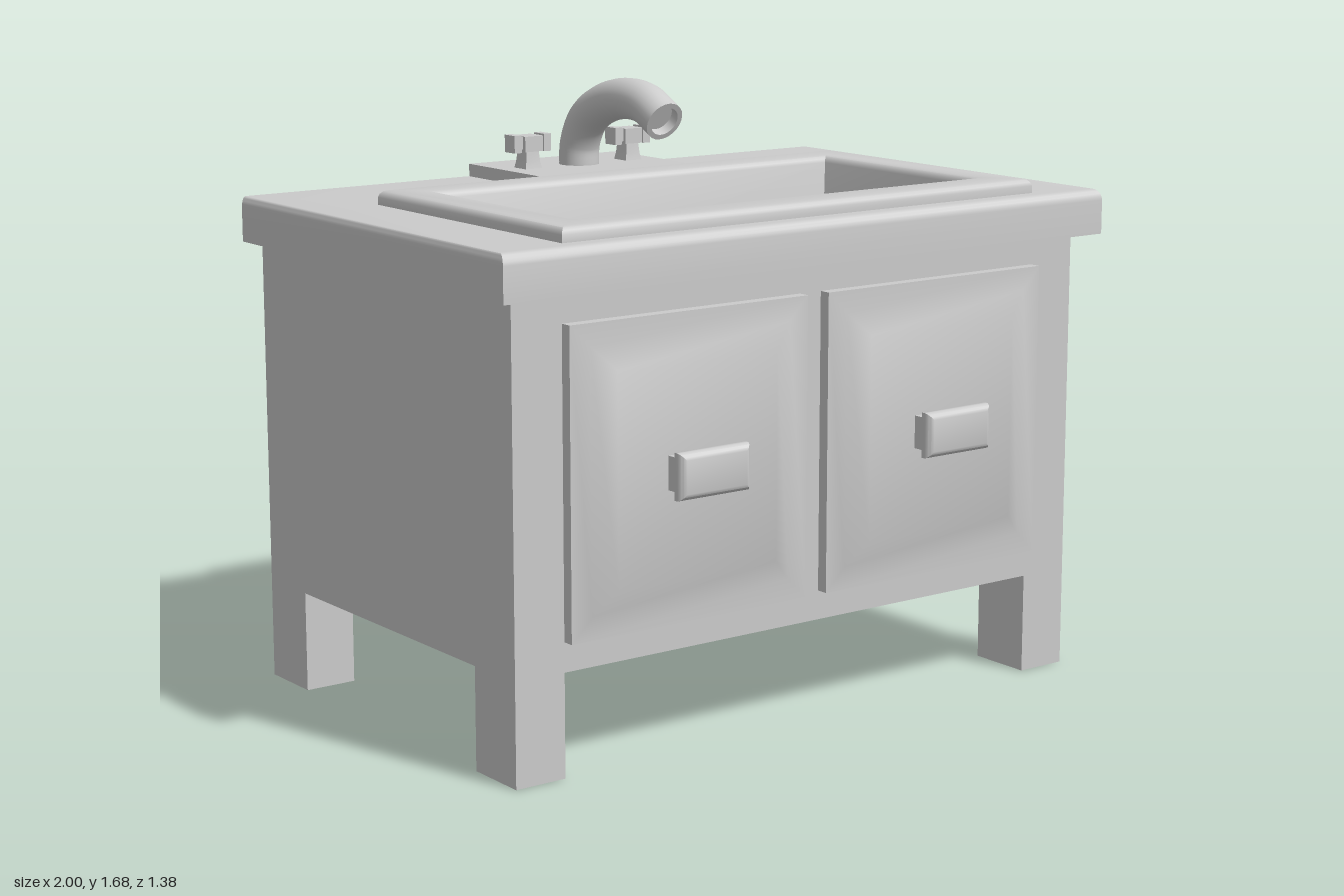
import * as THREE from 'three';
import { toCreasedNormals } from 'three/addons/utils/BufferGeometryUtils.js';

const material = new THREE.MeshStandardMaterial({ color: 0xcccccc });
const twoSided = new THREE.MeshStandardMaterial({ color: 0xcccccc, side: THREE.DoubleSide });

function add(parent, name, geometry, mat = material) {
  const mesh = new THREE.Mesh(geometry, mat);
  mesh.name = name;
  parent.add(mesh);
  return mesh;
}

// Box given by its limits on each axis
function box(parent, name, [x0, x1], [y0, y1], [z0, z1]) {
  const mesh = add(parent, name, new THREE.BoxGeometry(x1 - x0, y1 - y0, z1 - z0));
  mesh.position.set((x0 + x1) / 2, (y0 + y1) / 2, (z0 + z1) / 2);
  return mesh;
}

// Skin over stacked rectangles [x0, x1, z0, z1, y]; the last one may be capped
function loftRects(rects, cap = true) {
  const points = [], index = [];
  rects.forEach(([x0, x1, z0, z1, y], r) => {
    points.push(x0, y, z1, x1, y, z1, x1, y, z0, x0, y, z0);
    if (r === 0) return;
    for (let i = 0; i < 4; i++) {
      const j = (i + 1) % 4, lo = (r - 1) * 4, hi = r * 4;
      index.push(lo + i, lo + j, hi + j, lo + i, hi + j, hi + i);
    }
  });
  const t = (rects.length - 1) * 4;
  if (cap) index.push(t, t + 1, t + 2, t, t + 2, t + 3);
  const geometry = new THREE.BufferGeometry();
  geometry.setAttribute('position', new THREE.Float32BufferAttribute(points, 3));
  geometry.setIndex(index);
  return toCreasedNormals(geometry.toNonIndexed(), 0.75);
}

// Rectangle profile of [inset, height] pairs around a centred rectangle
const insetRects = (w, d, profile) =>
  profile.map(([s, y]) => [-w / 2 + s, w / 2 - s, -d / 2 + s, d / 2 - s, y]);

function addCabinet(root) {
  // Carcass, open at the top so the basin can hang inside
  const carcass = new THREE.BoxGeometry(1.88, 0.97, 1.245);
  const faces = Array.from(carcass.index.array);
  faces.splice(12, 6);
  carcass.setIndex(faces);
  carcass.clearGroups();
  add(root, 'cabinetBody', carcass).position.set(0, 0.765, -0.0675);

  for (const x of [[-0.94, -0.79], [0.79, 0.94]]) {
    box(root, 'frontLeg', x, [0, 0.28], [0.37, 0.555]);
    box(root, 'backLeg', x, [0, 0.28], [-0.69, -0.5]);
  }
}

function addDoor(root, side) {
  const door = new THREE.Group();
  door.name = side > 0 ? 'leftDoor' : 'rightDoor';
  door.position.set(side * 0.4125, 0.7675, 0.555);
  // Slab with a bevelled raised panel
  add(door, 'doorPanel', loftRects([
    ...insetRects(0.755, 0.815, [[0, 0], [0, 0.033], [0.062, 0.035], [0.125, 0.063]]),
  ]).rotateX(Math.PI / 2));
  // Handle: short stem and a rounded rectangular pull
  box(door, 'handleStem', [-0.097, 0.097], [-0.042, 0.048], [0.06, 0.107]);
  add(door, 'handlePull', loftRects(insetRects(0.226, 0.124, [
    [0.03, 0.104], [0.005, 0.104], [0, 0.11], [0, 0.122], [0.004, 0.131], [0.01, 0.137], [0.018, 0.14],
  ])).rotateX(Math.PI / 2)).position.y = 0.004;
  root.add(door);
}

function addCounterAndBasin(root) {
  // Worktop: rounded front edge, slightly eased sides, flush back
  const edge = [];
  for (let i = 0; i <= 5; i++) {
    const a = (i / 5) * Math.PI / 2, c = 1 - Math.cos(a);
    const side = 1 - 0.012 * c;
    edge.push([-side, side, -0.69, 0.615 - 0.03 * c, 1.345 + 0.03 * Math.sin(a)]);
  }
  add(root, 'worktop', loftRects([
    [-0.9, 0.9, -0.69, 0.5, 1.25], [-1, 1, -0.69, 0.615, 1.25],
    ...edge, [-0.72, 0.72, -0.26, 0.49, 1.375],
  ], false));

  // Raised rim, sloping walls and floor of the basin
  add(root, 'basin', loftRects(insetRects(1.575, 0.875, [
    [0, 1.375], [0, 1.395], [0.004, 1.405], [0.011, 1.412], [0.022, 1.415],
    [0.098, 1.415], [0.109, 1.412], [0.116, 1.405], [0.12, 1.395], [0.155, 1.12],
  ]))).position.z = 0.1175;
  box(root, 'drain', [-0.093, 0.093], [1.11, 1.123], [-0.05, 0.09]);
}

function addTap(root) {
  box(root, 'tapPlate', [-0.26, 0.26], [1.37, 1.411], [-0.69, -0.32]);

  // Arched spout
  const path = new THREE.CatmullRomCurve3([
    [1.405, -0.507], [1.47, -0.503], [1.545, -0.46], [1.595, -0.375],
    [1.618, -0.27], [1.61, -0.175], [1.568, -0.09],
  ].map(([y, z]) => new THREE.Vector3(0, y, z)));
  add(root, 'spout', new THREE.TubeGeometry(path, 40, 0.058, 24));

  // Recessed mouth of the spout
  const mouth = new THREE.Group();
  mouth.name = 'spoutMouth';
  mouth.position.copy(path.getPoint(1));
  mouth.lookAt(path.getPoint(1).add(path.getTangent(1)));
  add(mouth, 'mouthRing', new THREE.RingGeometry(0.043, 0.058, 24));
  add(mouth, 'mouthWall', new THREE.CylinderGeometry(0.043, 0.043, 0.03, 24, 1, true)
    .rotateX(Math.PI / 2).translate(0, 0, -0.015), twoSided);
  add(mouth, 'mouthEnd', new THREE.CircleGeometry(0.043, 24).translate(0, 0, -0.03));
  root.add(mouth);

  // Cross-bar tap handles
  for (const side of [-1, 1]) {
    const handle = new THREE.Group();
    handle.name = side > 0 ? 'leftTapHandle' : 'rightTapHandle';
    handle.position.set(side * 0.175, 0, -0.51);
    add(handle, 'handlePost', loftRects(insetRects(0.056, 0.06, [
      [0, 1.41], [0.004, 1.43], [0.008, 1.47],
    ])));
    box(handle, 'handleHub', [-0.03, 0.03], [1.46, 1.504], [-0.033, 0.031]);
    box(handle, 'handleBar', [-0.045, 0.045], [1.467, 1.503], [-0.02, 0.02]);
    for (const end of [-1, 1]) {
      box(handle, 'handleEnd', [end * 0.05 - 0.012, end * 0.05 + 0.012], [1.458, 1.508], [-0.026, 0.025]);
    }
    root.add(handle);
  }
}

export function createModel() {
  const root = new THREE.Group();
  root.name = 'washstand';
  addCabinet(root);
  for (const side of [-1, 1]) addDoor(root, side);
  addCounterAndBasin(root);
  addTap(root);
  return root;
}
